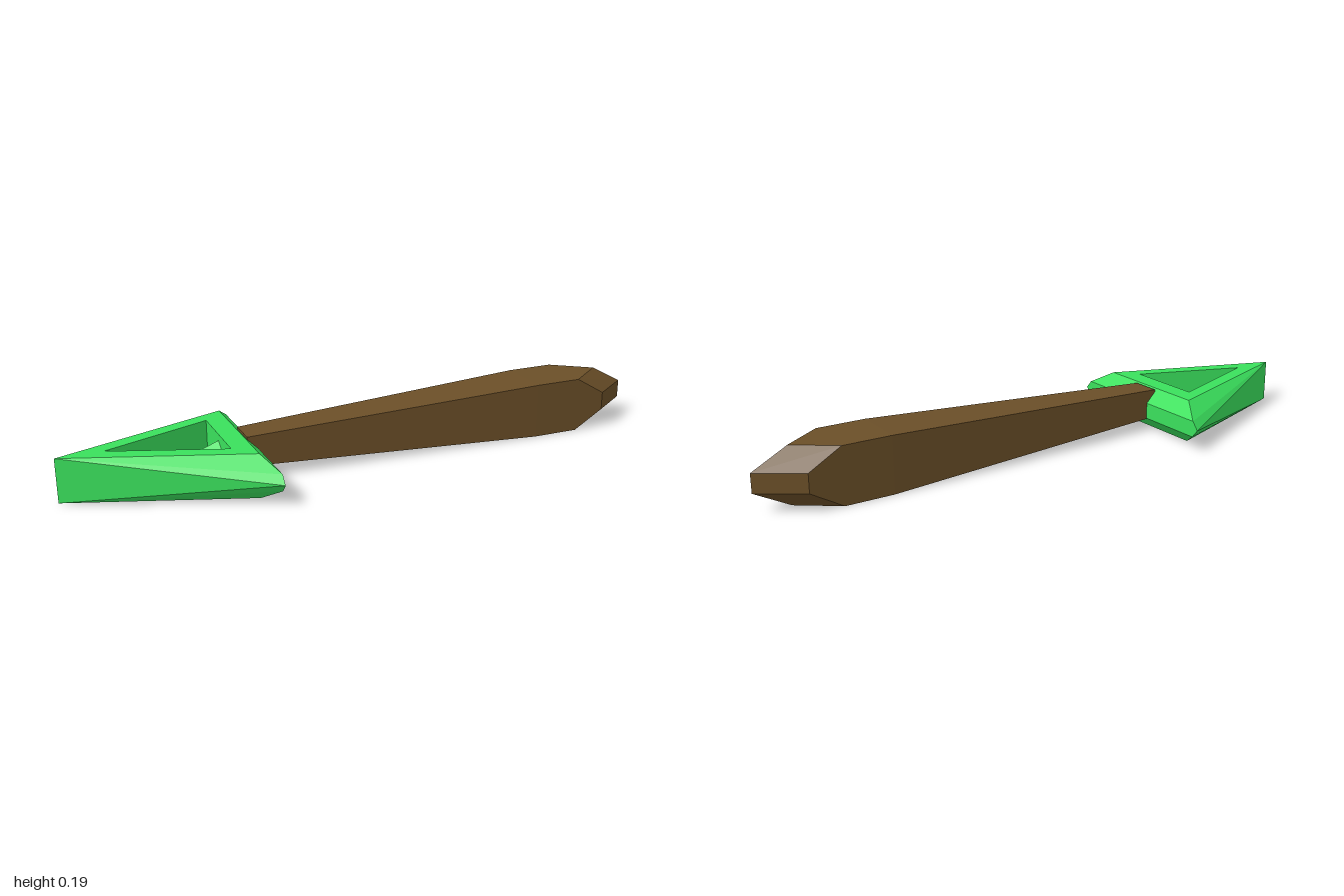
import * as THREE from 'three';

// Mirrors the faces of one quarter (y >= 0, z >= 0) across y and z.
function mirroredMesh(name, color, pts, faces, center) {
  const pos = [];
  for (const sy of [1, -1]) for (const sz of [1, -1]) {
    for (const face of faces) {
      const v = face.split(' ').map(k => pts[k]);
      for (let i = 1; i < v.length - 1; i++) {
        const tri = sy * sz > 0 ? [v[0], v[i], v[i + 1]] : [v[0], v[i + 1], v[i]];
        for (const p of tri) pos.push(p[0], p[1] * sy, p[2] * sz);
      }
    }
  }
  const geo = new THREE.BufferGeometry();
  geo.setAttribute('position', new THREE.Float32BufferAttribute(pos, 3));
  geo.computeVertexNormals();
  const mesh = new THREE.Mesh(geo, new THREE.MeshStandardMaterial({ color, flatShading: true }));
  mesh.name = name;
  mesh.position.set(...center);
  return mesh;
}

export function createModel() {
  const group = new THREE.Group();
  group.name = 'shortSpear';
  const green = 0x3ae05c, brown = 0x6b4f28;

  // Triangular frame with ridged outer edges and an open middle
  const h = 0.072;
  group.add(mirroredMesh('arrowHead', green, {
    apex: [-1, h, 0], apexMid: [-1, 0, 0],
    barb: [-0.39, 0, 0.306], barbTop: [-0.39, 0.027, 0.283], shoulder: [-0.435, h, 0.207],
    topBack: [-0.435, h, 0], backUp: [-0.39, 0.027, 0], backMid: [-0.39, 0, 0],
    holeTip: [-0.855, h, 0], holeCorner: [-0.5, h, 0.134], holeBack: [-0.5, h, 0],
    holeTipMid: [-0.855, 0, 0], holeCornerMid: [-0.5, 0, 0.134], holeBackMid: [-0.5, 0, 0],
  }, [
    'apex shoulder holeCorner holeTip',
    'shoulder topBack holeBack holeCorner',
    'apex apexMid barb barbTop shoulder',
    'shoulder barbTop backUp topBack',
    'barbTop barb backMid backUp',
    'holeTip holeCorner holeCornerMid holeTipMid',
    'holeCorner holeBack holeBackMid holeCornerMid',
  ], [0, 0.075, 0]));

  // Small spike inside the opening
  group.add(mirroredMesh('innerSpike', green, {
    tip: [-0.64, 0, 0], side: [-0.5, 0, 0.07], top: [-0.5, 0.05, 0],
  }, ['tip side top'], [0, 0.075, 0]));

  // Square handle that swells towards a faceted, wedge-shaped end
  const w = 0.093;
  group.add(mirroredMesh('handle', brown, {
    a: [-0.425, 0.049, 0.05], aTop: [-0.425, 0.049, 0], aSide: [-0.425, 0, 0.05], aMid: [-0.425, 0, 0],
    b: [0.6, w, w], bTop: [0.6, w, 0], bSide: [0.6, 0, w],
    c: [0.76, w, w], peak: [0.885, w, 0],
    e: [0.865, 0.031, w], eSide: [0.865, 0, w],
    tip: [1, 0.031, 0], tipMid: [1, 0, 0],
  }, [
    'aTop aMid aSide a',
    'aTop a b bTop',
    'bTop b c peak',
    'a aSide bSide b',
    'b bSide eSide e c',
    'c e tip peak',
    'e eSide tipMid tip',
  ], [0, 0.096, 0.008]));

  return group;
}
